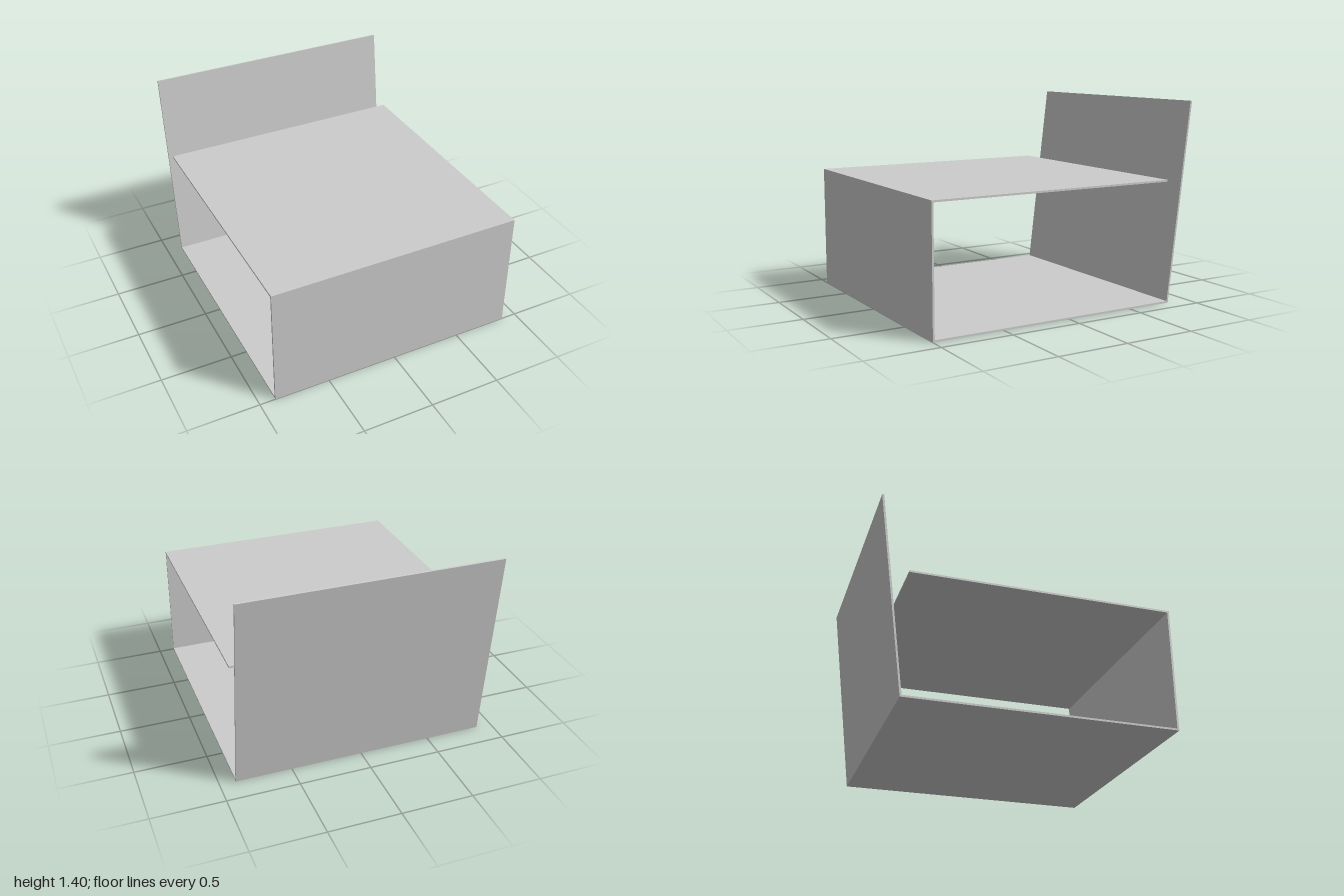
import * as THREE from 'three';

const WIDTH = 1.78;
const material = new THREE.MeshStandardMaterial({ color: 0xcccccc });

// Flat sheet: a (z, y) cross-section extruded across the full width
function panel(name, section) {
  const shape = new THREE.Shape(section.map(([z, y]) => new THREE.Vector2(z, y)));
  const geometry = new THREE.ExtrudeGeometry(shape, { depth: WIDTH, bevelEnabled: false });
  geometry.translate(0, 0, -WIDTH / 2);
  geometry.rotateY(-Math.PI / 2);
  const mesh = new THREE.Mesh(geometry, material);
  mesh.name = name;
  return mesh;
}

export function createModel() {
  const group = new THREE.Group();
  group.name = 'foldedSheetSeat';
  const t = 0.013;    // sheet thickness
  const top = 0.867;  // top of the seat

  group.add(
    // Horizontal seat, stopping short of the backrest
    panel('seat', [[-0.8, top - t], [1 - t, top - t], [1, top], [-0.8, top]]),
    // Upright front, mitred into seat and base
    panel('frontPanel', [[1 - t, t], [1, 0], [1, top], [1 - t, top - t]]),
    // Base on the floor
    panel('base', [[-0.83, 0], [1, 0], [1 - t, t], [-0.819, t]]),
    // Backrest leaning away from the seat
    panel('backrest', [[-0.83, 0], [-0.819, t], [-0.987, 1.4], [-1, 1.398]]),
  );
  return group;
}
